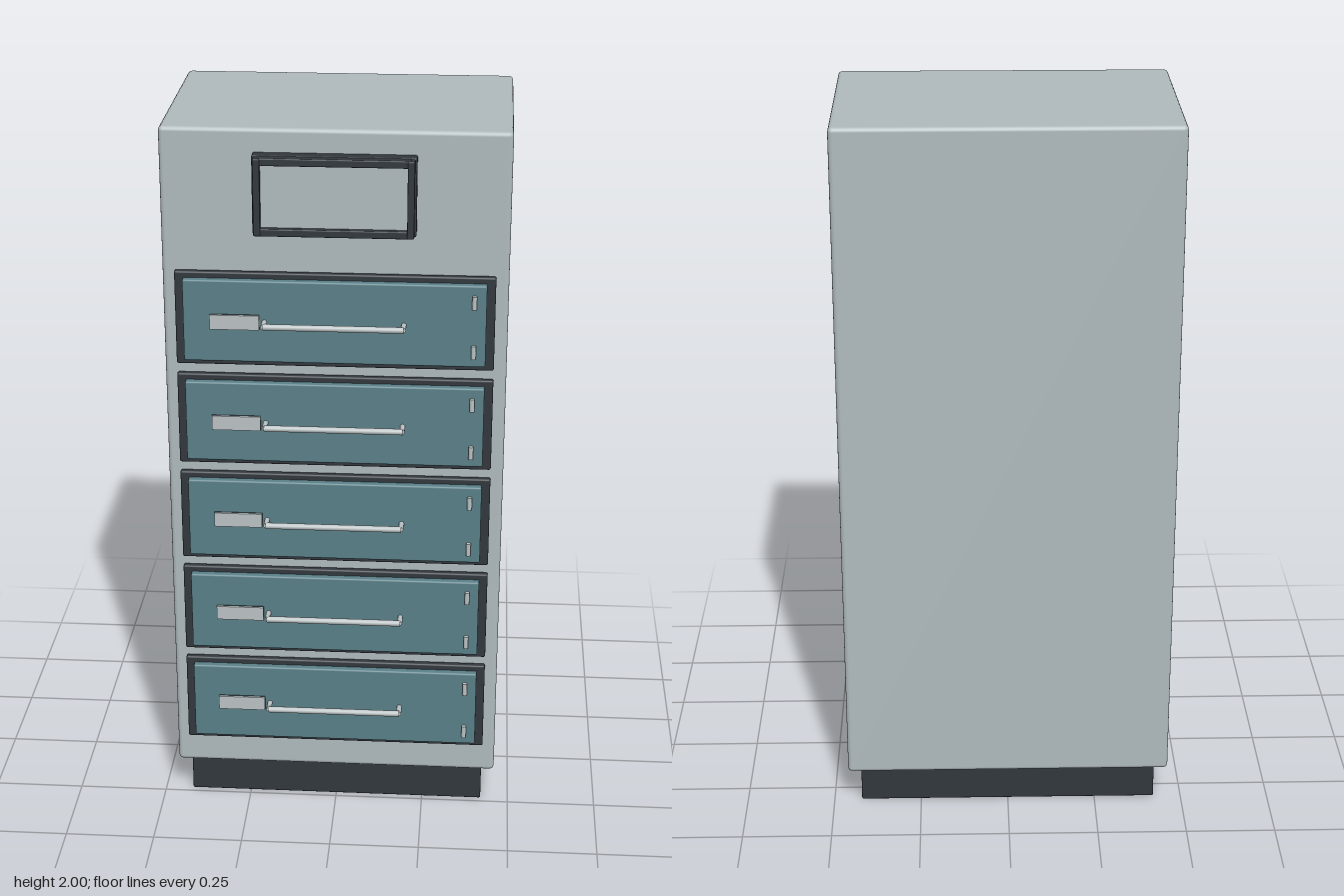
import * as THREE from 'three';
import { RoundedBoxGeometry } from 'three/addons/geometries/RoundedBoxGeometry.js';

const material = (name, color) => {
  const m = new THREE.MeshStandardMaterial({ color });
  m.name = name;
  return m;
};

export function createModel() {
  const shell = material('pale grey shell', 0xb0bbbe);
  const dark = material('charcoal trim', 0x32383e);
  const teal = material('teal drawer', 0x5a8089);
  const metal = material('light metal', 0xbcc3c4);

  const add = (parent, name, geometry, mat, x, y, z) => {
    const mesh = new THREE.Mesh(geometry, mat);
    mesh.name = name;
    mesh.position.set(x, y, z);
    parent.add(mesh);
    return mesh;
  };
  // Rounded box spanning z0 to z1, centred on x, y
  const block = (parent, name, mat, w, h, z0, z1, x, y, r) =>
    add(parent, name, new RoundedBoxGeometry(w, h, z1 - z0, 2, r), mat, x, y, (z0 + z1) / 2);

  const cabinet = new THREE.Group();
  cabinet.name = 'drawerCabinet';

  // Body and recessed plinth
  block(cabinet, 'body', shell, 0.914, 1.888, -0.348, 0.26, 0, 1.056, 0.012);
  block(cabinet, 'plinth', dark, 0.842, 0.125, -0.314, 0.234, 0, 0.0625, 0.004);

  // Framed panel above the drawers
  const sign = new THREE.Group();
  sign.name = 'framedPanel';
  sign.position.y = 1.831;
  cabinet.add(sign);
  block(sign, 'panelBacking', dark, 0.426, 0.212, 0.255, 0.29, 0, 0, 0.005);
  add(sign, 'panelFace', new THREE.BoxGeometry(0.39, 0.175, 0.008), shell, 0, 0, 0.293);
  for (const s of [-1, 1]) {
    block(sign, 'frameRail', dark, 0.4, 0.02, 0.286, 0.313, 0, s * 0.094, 0.003);
    block(sign, 'frameStile', dark, 0.018, 0.206, 0.286, 0.316, s * 0.199, 0, 0.003);
  }

  // Five identical drawers
  const knuckle = new THREE.CylinderGeometry(0.0065, 0.0065, 0.036, 12);
  const bar = new THREE.CylinderGeometry(0.0085, 0.0085, 0.37, 12).rotateZ(Math.PI / 2);
  const post = new THREE.CylinderGeometry(0.007, 0.007, 0.042, 12).rotateX(Math.PI / 2);
  for (let i = 0; i < 5; i++) {
    const drawer = new THREE.Group();
    drawer.name = 'drawer';
    drawer.position.y = 0.335 + i * 0.288;
    cabinet.add(drawer);
    block(drawer, 'drawerSurround', dark, 0.846, 0.26, 0.262, 0.281, 0, 0, 0.005);
    block(drawer, 'drawerFront', teal, 0.8, 0.227, 0.272, 0.3, 0, 0, 0.005);
    add(drawer, 'labelPlate', new THREE.BoxGeometry(0.131, 0.04, 0.005), metal, -0.263, 0, 0.307);
    // Dark mount behind the label plate
    add(drawer, 'labelMount', new THREE.BoxGeometry(0.131, 0.04, 0.006), dark, -0.263, 0, 0.302);
    add(drawer, 'handleBar', bar, metal, 0, 0, 0.338);
    for (const s of [-1, 1]) {
      add(drawer, 'handlePost', post, metal, s * 0.184, 0, 0.317);
      add(drawer, 'hingeKnuckle', knuckle, metal, 0.368, s * 0.069, 0.307);
    }
  }
  return cabinet;
}
